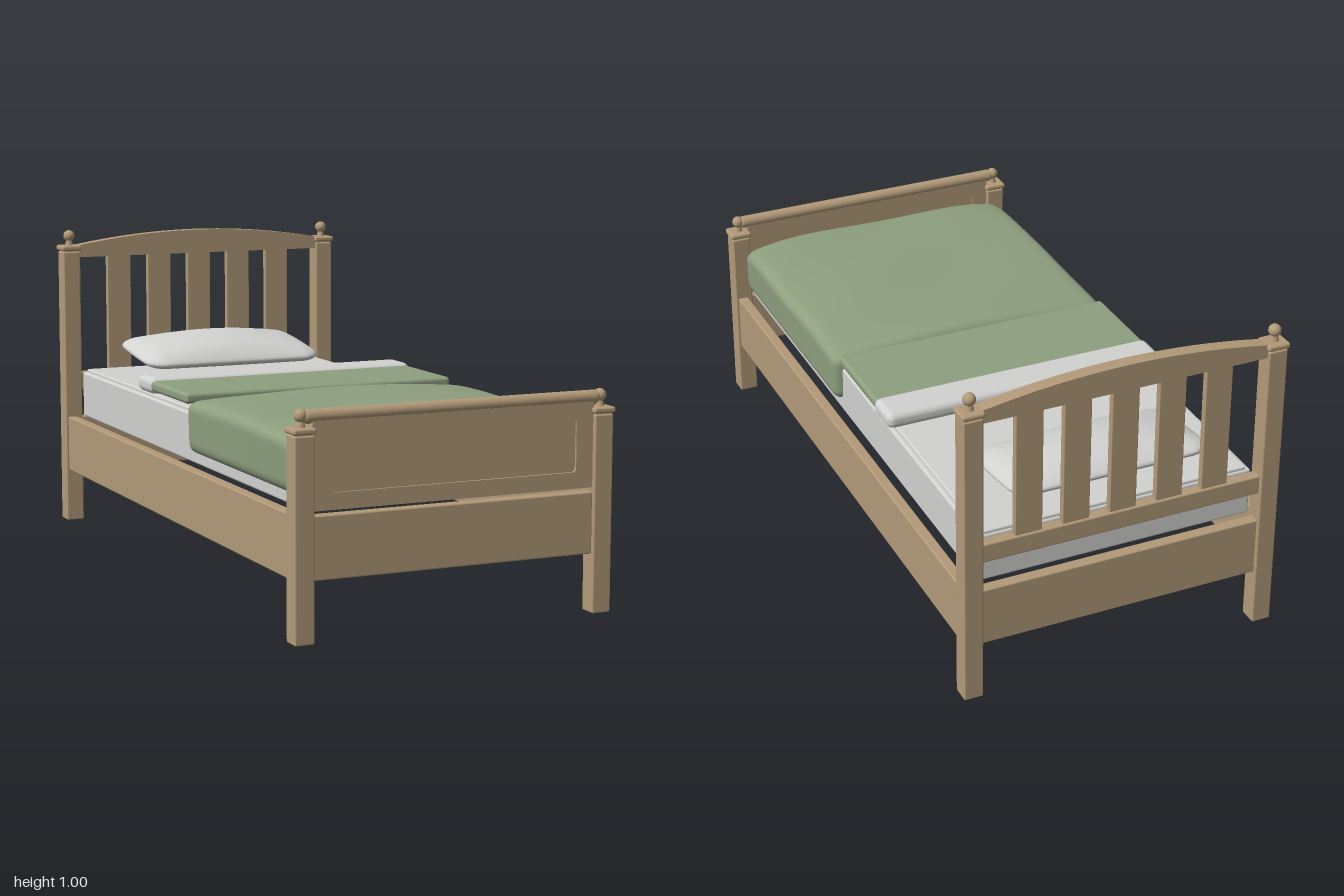
import * as THREE from 'three';
import { mergeVertices, toCreasedNormals } from 'three/addons/utils/BufferGeometryUtils.js';
import { RoundedBoxGeometry } from 'three/addons/geometries/RoundedBoxGeometry.js';

const material = (name, color) => Object.assign(new THREE.MeshStandardMaterial({ color }), { name });
const wood = material('wood', 0xb29a79);
const linen = material('linen', 0xd2d2d0);
const green = material('green blanket', 0x8e9f7f);

function add(parent, name, geometry, mat, x = 0, y = 0, z = 0) {
  const mesh = new THREE.Mesh(geometry, mat);
  mesh.name = name;
  mesh.position.set(x, y, z);
  parent.add(mesh);
  return mesh;
}

// Softly edged block given by its low and high limits on each axis
function block(parent, name, mat, [x0, x1], [y0, y1], [z0, z1], r = 0.005) {
  const geometry = new RoundedBoxGeometry(x1 - x0, y1 - y0, z1 - z0, 3, r);
  return add(parent, name, geometry, mat, (x0 + x1) / 2, (y0 + y1) / 2, (z0 + z1) / 2);
}

// Finely divided rounded box whose points are then moved by a rule
function softBox(w, h, d, r, [nx, ny, nz], rule) {
  const box = new THREE.BoxGeometry(w, h, d, nx, ny, nz);
  box.deleteAttribute('normal');
  box.deleteAttribute('uv');
  const geometry = mergeVertices(box);
  const pos = geometry.attributes.position;
  const half = new THREE.Vector3(w / 2 - r, h / 2 - r, d / 2 - r);
  const low = half.clone().negate();
  const p = new THREE.Vector3();
  for (let i = 0; i < pos.count; i++) {
    p.fromBufferAttribute(pos, i);
    const inner = p.clone().clamp(low, half);
    p.sub(inner).setLength(r).add(inner);
    rule(p);
    pos.setXYZ(i, p.x, p.y, p.z);
  }
  geometry.computeVertexNormals();
  return geometry;
}

function roundedRect(path, hw, y0, y1, r) {
  path.moveTo(-hw + r, y0);
  path.lineTo(hw - r, y0);
  path.quadraticCurveTo(hw, y0, hw, y0 + r);
  path.lineTo(hw, y1 - r);
  path.quadraticCurveTo(hw, y1, hw - r, y1);
  path.lineTo(-hw + r, y1);
  path.quadraticCurveTo(-hw, y1, -hw, y1 - r);
  path.lineTo(-hw, y0 + r);
  path.quadraticCurveTo(-hw, y0, -hw + r, y0);
  return path;
}

function extrude(shape, depth) {
  const geometry = new THREE.ExtrudeGeometry(shape, { depth, bevelEnabled: false, curveSegments: 32 });
  geometry.translate(0, 0, -depth / 2);
  return toCreasedNormals(geometry, 0.5);
}

// Square post with a cap and a ball finial
function post(name, height, x, z) {
  const group = new THREE.Group();
  group.name = name;
  group.position.set(x, 0, z);
  block(group, 'postShaft', wood, [-0.03, 0.03], [0, height], [-0.03, 0.03]);
  block(group, 'postCap', wood, [-0.035, 0.035], [height + 0.003, height + 0.021], [-0.035, 0.035], 0.007);
  add(group, 'capCore', new THREE.BoxGeometry(0.05, 0.01, 0.05), wood, 0, height + 0.002, 0);
  add(group, 'finialNeck', new THREE.CylinderGeometry(0.009, 0.014, 0.02, 20), wood, 0, height + 0.03, 0);
  add(group, 'finialBall', new THREE.SphereGeometry(0.019, 24, 16), wood, 0, height + 0.053, 0);
  return group;
}

function headboard() {
  const group = new THREE.Group();
  group.name = 'headboard';
  const z = -0.965;
  for (const x of [-0.47, 0.47]) group.add(post('headPost', 0.925, x, z));
  // Arched top rail
  const arch = new THREE.Shape();
  arch.moveTo(-0.445, 0.905);
  arch.lineTo(0.445, 0.905);
  arch.lineTo(0.445, 0.945);
  arch.quadraticCurveTo(0, 1.025, -0.445, 0.945);
  add(group, 'archedRail', extrude(arch, 0.042), wood, 0, 0, z);
  for (let i = -2; i <= 2; i++) {
    const x = i * 0.147;
    block(group, 'slat', wood, [x - 0.042, x + 0.042], [0.48, 0.91], [z - 0.011, z + 0.011], 0.003);
  }
  block(group, 'headCrossbar', wood, [-0.445, 0.445], [0.45, 0.51], [z - 0.018, z + 0.018]);
  block(group, 'headLowerRail', wood, [-0.445, 0.445], [0.175, 0.357], [z - 0.018, z + 0.018]);
  return group;
}

function footboard() {
  const group = new THREE.Group();
  group.name = 'footboard';
  const z = 0.965;
  for (const x of [-0.47, 0.47]) group.add(post('footPost', 0.582, x, z));
  // Framed panel, sunk on both sides
  const frame = roundedRect(new THREE.Shape(), 0.442, 0.37, 0.62, 0.008);
  frame.holes.push(roundedRect(new THREE.Path(), 0.386, 0.418, 0.575, 0.014));
  add(group, 'panelFrame', extrude(frame, 0.034), wood, 0, 0, z);
  block(group, 'sunkenPanel', wood, [-0.4, 0.4], [0.405, 0.59], [z - 0.009, z + 0.009], 0.003);
  // Round top bar with domed ends
  const bar = new THREE.CapsuleGeometry(0.02, 0.9, 10, 28);
  bar.rotateZ(Math.PI / 2);
  add(group, 'roundTopBar', bar, wood, 0, 0.631, z);
  block(group, 'footLowerRail', wood, [-0.442, 0.442], [0.175, 0.357], [z - 0.018, z + 0.018]);
  return group;
}

function bedding() {
  const group = new THREE.Group();
  group.name = 'bedding';
  block(group, 'mattress', linen, [-0.436, 0.436], [0.36, 0.512], [-0.94, 0.93], 0.008);
  block(group, 'sheet', linen, [-0.422, 0.422], [0.5, 0.522], [-0.935, 0.925], 0.006);

  // Blanket with a crowned, gently rumpled top
  const blanket = softBox(0.93, 0.18, 0.845, 0.035, [64, 16, 60], (p) => {
    const t = THREE.MathUtils.clamp(p.y / 0.18 + 0.5, 0, 1);
    const side = (p.x / 0.465) ** 4;
    const foot = Math.max(p.z / 0.4225, 0) ** 6;
    const head = Math.max(-p.z / 0.4225, 0) ** 8;
    const ripple = 0.004 * Math.sin(p.x * 9 + p.z * 5) * Math.cos(p.z * 7);
    p.y += t * t * (ripple - 0.016 * side - 0.022 * foot * (0.4 + side) - 0.008 * head);
    p.x *= 1 - 0.008 * (1 - t) + 0.006 * Math.sin(p.z * 8) * t;
  });
  add(group, 'blanket', blanket, green, 0, 0.485, 0.5125);

  // Turned-back fold and its sheet hem
  block(group, 'blanketFold', green, [-0.453, 0.453], [0.54, 0.573], [-0.235, 0.073], 0.012);
  block(group, 'sheetHem', linen, [-0.458, 0.458], [0.53, 0.582], [-0.345, -0.22], 0.022);

  // Plump pillow, flatter below and leaning up towards the headboard
  const pillow = softBox(0.63, 0.13, 0.335, 0.064, [64, 16, 40], (p) => {
    const bump = (1 - (p.x / 0.318) ** 2) * (1 - (p.z / 0.17) ** 2);
    p.y *= (p.y > 0 ? 0.021 + 0.044 * bump : 0.021 + 0.005 * bump) / 0.065;
    p.x *= 1 - 0.02 * (p.z / 0.168) ** 2;
  });
  add(group, 'pillow', pillow, linen, 0, 0.586, -0.768).rotation.x = 0.135;
  return group;
}

export function createModel() {
  const bed = new THREE.Group();
  bed.name = 'bed';
  bed.add(headboard(), footboard(), bedding());
  for (const side of [-1, 1]) {
    const x = side * 0.474;
    block(bed, 'sideRail', wood, [x - 0.017, x + 0.017], [0.175, 0.36], [-0.94, 0.94]);
  }
  return bed;
}
